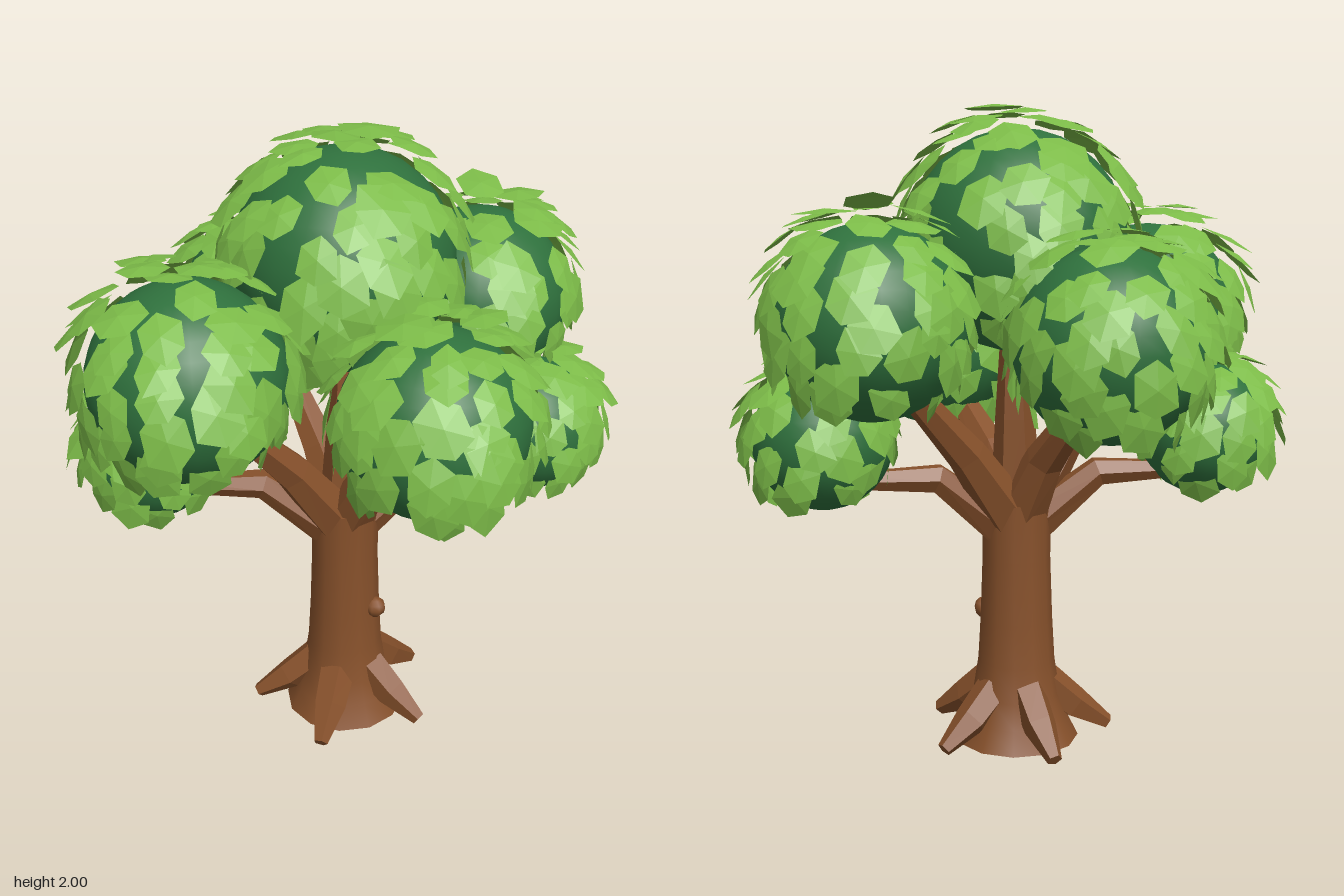
import * as THREE from 'three';
import { mergeGeometries } from 'three/addons/utils/BufferGeometryUtils.js';

const V = (x, y, z) => new THREE.Vector3(x, y, z);

const bark = new THREE.MeshStandardMaterial({ color: 0x87512b });
bark.name = 'bark brown';
const inner = new THREE.MeshStandardMaterial({ color: 0x2f713d });
inner.name = 'deep green';
const leafGreen = new THREE.MeshStandardMaterial({ color: 0x7cbb48, side: THREE.DoubleSide });
leafGreen.name = 'leaf green';

// Small seeded generator
function makeRandom(seed) {
  let s = seed;
  return () => {
    s = (s * 16807) % 2147483647;
    return s / 2147483647;
  };
}

function addMesh(parent, name, geometry, material) {
  const mesh = new THREE.Mesh(geometry, material);
  mesh.name = name;
  parent.add(mesh);
  return mesh;
}

// Faceted limb: rings of given radii swept along a few points, closed at both ends
function limb(points, radii, sides = 6) {
  const rings = points.map((p, i) => {
    const a = points[Math.max(i - 1, 0)];
    const b = points[Math.min(i + 1, points.length - 1)];
    const dir = b.clone().sub(a).normalize();
    const ref = Math.abs(dir.y) > 0.95 ? V(1, 0, 0) : V(0, 1, 0);
    const u = new THREE.Vector3().crossVectors(ref, dir).normalize();
    const v = new THREE.Vector3().crossVectors(dir, u);
    return Array.from({ length: sides }, (_, k) => {
      const t = (k / sides) * Math.PI * 2;
      return p.clone().addScaledVector(u, Math.cos(t) * radii[i]).addScaledVector(v, Math.sin(t) * radii[i]);
    });
  });
  const tri = [];
  const first = points[0], last = points[points.length - 1];
  for (let k = 0; k < sides; k++) {
    const n = (k + 1) % sides;
    for (let i = 0; i < rings.length - 1; i++) {
      const A = rings[i], B = rings[i + 1];
      tri.push(A[k], A[n], B[n], A[k], B[n], B[k]);
    }
    tri.push(first, rings[0][n], rings[0][k]);
    const E = rings[rings.length - 1];
    tri.push(last, E[k], E[n]);
  }
  const g = new THREE.BufferGeometry().setFromPoints(tri);
  g.computeVertexNormals();
  return g;
}

// One leaf: an irregular, slightly domed hexagon facing +z with its tip toward -y
function leafGeometry(size, rand) {
  const sides = 6, rim = [];
  for (let k = 0; k < sides; k++) {
    const t = (k / sides) * Math.PI * 2 - Math.PI / 2;
    const r = size * (0.86 + rand() * 0.28);
    rim.push(V(Math.cos(t) * r * 0.9, Math.sin(t) * r * 1.1, -size * 0.05));
  }
  const tri = [], mid = V(0, 0, size * 0.1);
  rim.forEach((p, k) => tri.push(mid, p, rim[(k + 1) % sides]));
  const g = new THREE.BufferGeometry().setFromPoints(tri);
  g.computeVertexNormals();
  return g;
}

// Shell of shingled leaves: raised above the ball, tips flared out, hanging below the middle
function leafShell(radius, count, rand) {
  const parts = [];
  for (let i = 0; i < count; i++) {
    const y = Math.min(0.985, 0.98 - (i / count) * 1.78 + (rand() - 0.5) * 0.14);
    const ang = i * 2.39996 + (rand() - 0.5) * 0.5;
    const h = Math.sqrt(1 - y * y);
    const n = V(Math.cos(ang) * h, y, Math.sin(ang) * h);
    const up = V(0, 1, 0).addScaledVector(n, -y).normalize();
    const tilt = 0.3 + 0.4 * Math.max(0, -Math.asin(y)) + (rand() - 0.5) * 0.3;
    const normal = n.clone().multiplyScalar(Math.cos(tilt)).addScaledVector(up, Math.sin(tilt));
    const along = up.clone().multiplyScalar(Math.cos(tilt)).addScaledVector(n, -Math.sin(tilt));
    const side = new THREE.Vector3().crossVectors(along, normal);
    const pos = n.clone().multiplyScalar(radius * (1.09 + (rand() - 0.5) * 0.08));
    pos.y += 0.03;
    const g = leafGeometry(0.079 * (0.85 + rand() * 0.3) * (0.65 + radius), rand);
    g.rotateZ((rand() - 0.5) * 0.9);
    g.applyMatrix4(new THREE.Matrix4().makeBasis(side, along, normal).setPosition(pos));
    parts.push(g);
  }
  return mergeGeometries(parts);
}

export function createModel() {
  const tree = new THREE.Group();
  tree.name = 'tree';

  // Trunk with flared foot
  const profile = [[0.2, 0], [0.165, 0.07], [0.14, 0.15], [0.123, 0.26], [0.115, 0.4], [0.108, 0.6], [0.11, 0.78]]
    .map(([r, y]) => new THREE.Vector2(r, y));
  addMesh(tree, 'trunk', new THREE.LatheGeometry(profile, 12), bark);
  const foot = addMesh(tree, 'trunkFoot', new THREE.CircleGeometry(0.2, 12), bark);
  foot.rotation.set(Math.PI / 2, 0, Math.PI / 2);
  const crown = addMesh(tree, 'trunkTop', new THREE.CircleGeometry(0.11, 12), bark);
  crown.rotation.x = -Math.PI / 2;
  crown.position.y = 0.78;

  // Knot on the bark
  const knot = addMesh(tree, 'knot', new THREE.SphereGeometry(0.035, 8, 6), bark);
  knot.position.set(0.067, 0.41, 0.095);

  // Roots spreading around the foot
  for (let i = 0; i < 5; i++) {
    const a = ((-14 + 72 * i) * Math.PI) / 180;
    const at = (r, y) => V(Math.cos(a) * r, y, Math.sin(a) * r);
    addMesh(tree, 'root', limb([at(0.095, 0.175), at(0.19, 0.095), at(0.3, 0.026)], [0.06, 0.054, 0.024], 5), bark);
  }

  // Branches: path points, then start, bend and end radius
  const slim = [0.07, 0.048, 0.026], thick = [0.085, 0.062, 0.035];
  const branches = [
    [slim, [0.03, 0.68, 0], [0.25, 0.865, 0.05], [0.55, 0.87, 0.13]],
    [slim, [-0.03, 0.68, 0], [-0.25, 0.865, -0.08], [-0.53, 0.87, -0.19]],
    [thick, [0.02, 0.72, -0.01], [0.19, 0.95, -0.04], [0.44, 1.22, -0.08]],
    [thick, [-0.02, 0.72, 0.01], [-0.19, 0.95, 0.03], [-0.44, 1.22, 0.07]],
    [thick, [0, 0.74, 0.02], [0.03, 0.93, 0.14], [0.06, 1.12, 0.36]],
    [thick, [0, 0.74, -0.02], [-0.03, 0.93, -0.13], [-0.07, 1.16, -0.34]],
    [thick, [0, 0.72, 0], [0.01, 1.05, -0.01], [0.02, 1.4, -0.02]],
  ];
  branches.forEach(([radii, ...path]) => {
    addMesh(tree, 'branch', limb(path.map((p) => V(...p)), radii), bark);
  });

  // Foliage clumps: centre, ball radius, number of leaves
  const clumps = [
    ['topFoliage', 0.01, 1.595, -0.03, 0.335, 92],
    ['rightFoliage', -0.52, 1.345, 0.07, 0.295, 78],
    ['leftFoliage', 0.515, 1.375, -0.1, 0.285, 76],
    ['frontFoliage', 0.08, 1.25, 0.43, 0.28, 76],
    ['backFoliage', -0.085, 1.31, -0.425, 0.285, 76],
    ['lowerLeftFoliage', 0.59, 1.005, 0.13, 0.215, 54],
    ['lowerRightFoliage', -0.565, 1.0, -0.2, 0.21, 54],
  ];
  clumps.forEach(([name, x, y, z, r, count], i) => {
    const clump = new THREE.Group();
    clump.name = name;
    clump.position.set(x, y, z);
    addMesh(clump, 'foliageBall', new THREE.SphereGeometry(r, 24, 16), inner);
    const leaves = addMesh(clump, 'leaves', leafShell(r, count, makeRandom(101 + i * 977)), leafGreen);
    // Leaves lean slightly away from the trunk
    leaves.position.set(x * 0.02, 0, z * 0.02);
    tree.add(clump);
  });

  return tree;
}
